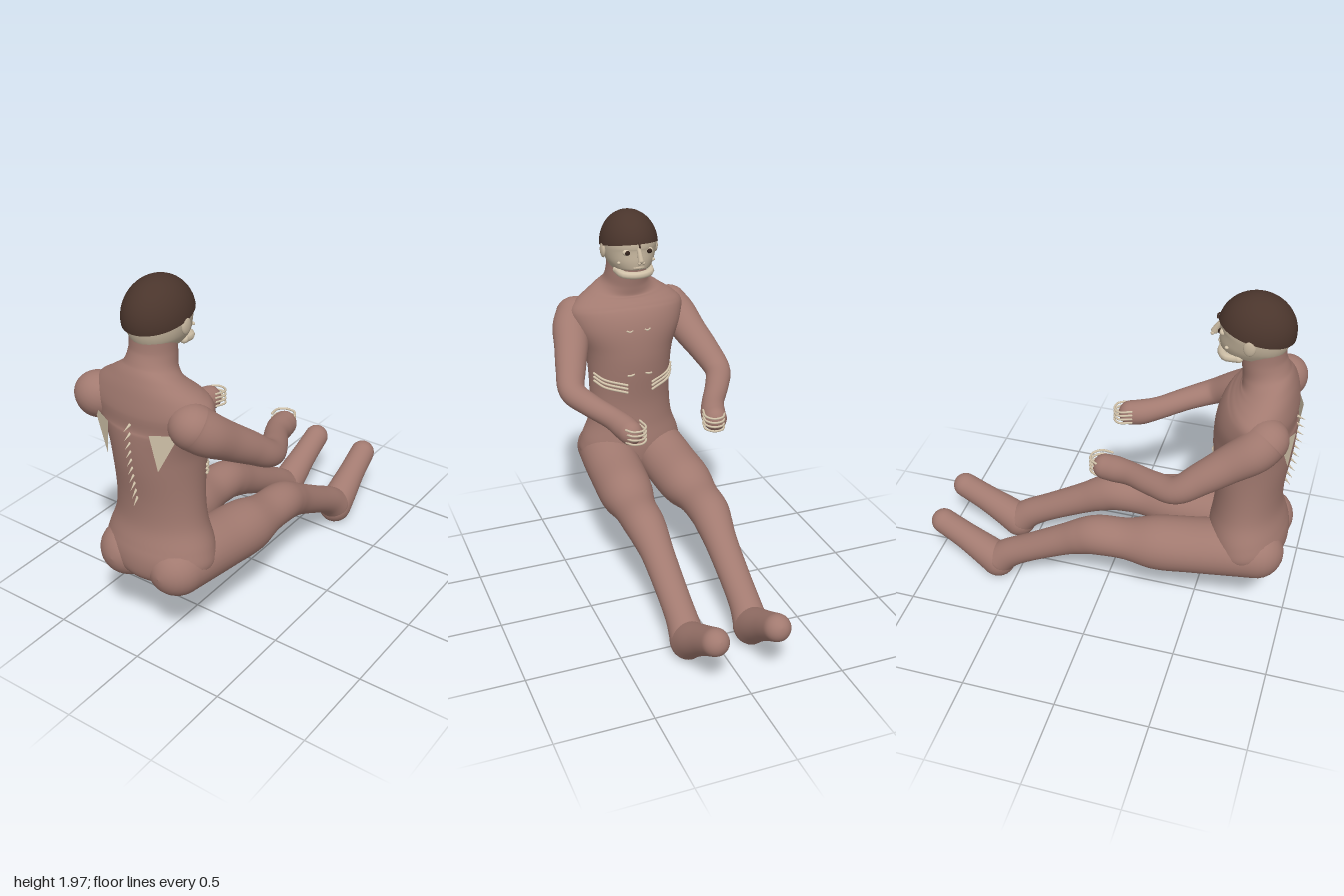
import * as THREE from 'three';

const mat = (name, color, side = THREE.FrontSide) => {
  const m = new THREE.MeshStandardMaterial({ color, side });
  m.name = name;
  return m;
};

// Smooth interpolation of rows of numbers at parameter t (in row units)
function sample(rows, t) {
  const i = Math.min(Math.floor(t), rows.length - 2), f = t - i;
  const at = k => rows[Math.max(0, Math.min(rows.length - 1, k))];
  return rows[0].map((_, c) => {
    const [p, q, r, s] = [at(i - 1)[c], at(i)[c], at(i + 1)[c], at(i + 2)[c]];
    return q + 0.5 * f * (r - p + f * (2 * p - 5 * q + 4 * r - s + f * (3 * (q - r) + s - p)));
  });
}

// Rounded tube through rows of [x, y, z, radius up, radius along z]
function loft(rows, startCap = 1, endCap = 1, sides = 32, steps = 6) {
  const end = rows.length - 1, stations = [];
  const tangent = t => {
    const a = sample(rows, Math.max(0, t - 0.05)), b = sample(rows, Math.min(end, t + 0.05));
    return new THREE.Vector3(b[0] - a[0], b[1] - a[1], b[2] - a[2]).normalize();
  };
  const add = (t, offset, k) => {
    const [x, y, z, a, b] = sample(rows, t), T = tangent(t);
    const c = new THREE.Vector3(x, y, z).addScaledVector(T, offset * (a + b) / 2);
    stations.push({ c, T, a: a * k, b: b * k });
  };
  const capSteps = 7;
  for (let i = capSteps; i > 0; i--) {
    const p = i / capSteps * 1.57;
    add(0, -startCap * Math.sin(p), Math.cos(p));
  }
  for (let i = 0; i <= end * steps; i++) add(i / steps, 0, 1);
  for (let i = 1; i <= capSteps; i++) {
    const p = i / capSteps * 1.57;
    add(end, endCap * Math.sin(p), Math.cos(p));
  }
  const pos = [], idx = [];
  stations.forEach(({ c, T, a, b }, i) => {
    const S = new THREE.Vector3(0, 0, 1).addScaledVector(T, -T.z).normalize();
    const U = S.clone().cross(T);
    for (let j = 0; j < sides; j++) {
      const th = j / sides * Math.PI * 2;
      const v = c.clone().addScaledVector(U, a * Math.cos(th)).addScaledVector(S, b * Math.sin(th));
      pos.push(v.x, v.y, v.z);
      if (i === stations.length - 1) continue;
      const p = i * sides + j, q = i * sides + (j + 1) % sides;
      idx.push(p, q, p + sides, q, q + sides, p + sides);
    }
  });
  const g = new THREE.BufferGeometry();
  g.setAttribute('position', new THREE.Float32BufferAttribute(pos, 3));
  g.setIndex(idx);
  g.computeVertexNormals();
  return g;
}

export function createModel() {
  const root = new THREE.Group();
  root.name = 'seatedFigure';
  const flesh = mat('flesh', 0xa27a70);
  const skin = mat('paleSkin', 0xc6b69e);
  const bone = mat('bone', 0xd2c3aa, THREE.DoubleSide);
  const hairMat = mat('darkHair', 0x4a352c, THREE.DoubleSide);
  const eyeMat = mat('eyeBrown', 0x33231c);

  const part = (name, geo, material, parent = root) => {
    const m = new THREE.Mesh(geo, material);
    m.name = name;
    parent.add(m);
    return m;
  };
  const ball = (name, x, y, z, rx, ry, rz, material, parent) => {
    const m = part(name, new THREE.SphereGeometry(1, 24, 16), material, parent);
    m.position.set(x, y, z);
    m.scale.set(rx, ry, rz);
    return m;
  };
  // Thin bone through points, with rounded ends
  const rod = (name, pts, r, material, parent) => {
    const v = pts.map(p => new THREE.Vector3(...p));
    part(name, new THREE.TubeGeometry(new THREE.CatmullRomCurve3(v), 16, r, 8), material, parent);
    for (const p of [v[0], v[v.length - 1]]) ball(name + 'End', p.x, p.y, p.z, r, r, r, material, parent);
  };

  // Torso and neck
  part('torso', loft([
    [-0.78, 0.44, 0, 0.1, 0.12],
    [-0.78, 0.48, 0, 0.18, 0.23],
    [-0.775, 0.55, 0, 0.205, 0.3],
    [-0.762, 0.64, 0, 0.2, 0.29],
    [-0.755, 0.76, 0, 0.177, 0.248],
    [-0.755, 0.9, 0, 0.175, 0.235],
    [-0.755, 1.08, 0, 0.197, 0.24],
    [-0.757, 1.2, 0, 0.204, 0.258],
    [-0.765, 1.32, 0, 0.197, 0.31],
    [-0.79, 1.41, 0, 0.172, 0.33],
    [-0.8, 1.47, 0, 0.147, 0.285],
    [-0.798, 1.52, 0, 0.13, 0.21],
    [-0.785, 1.57, 0, 0.117, 0.135],
    [-0.768, 1.64, 0, 0.108, 0.115],
    [-0.762, 1.72, 0, 0.106, 0.114],
  ], 0.2, 0.3, 48), flesh);

  for (const s of [1, -1]) {
    const side = s > 0 ? 'left' : 'right';
    const mirror = rows => rows.map(([x, y, z, ...r]) => [x, y, z * s, ...r]);

    // Arm with closed hand
    part(side + 'Arm', loft(mirror([
      [-0.845, 1.36, 0.275, 0.11, 0.12],
      [-0.8, 1.315, 0.32, 0.105, 0.105],
      [-0.7, 1.245, 0.352, 0.092, 0.095],
      [-0.58, 1.165, 0.395, 0.08, 0.083],
      [-0.46, 1.085, 0.425, 0.067, 0.072],
      [-0.33, 1.05, 0.368, 0.06, 0.065],
      [-0.2, 1.018, 0.29, 0.06, 0.06],
      [-0.11, 0.998, 0.252, 0.067, 0.066],
      [-0.05, 0.99, 0.238, 0.066, 0.064],
    ])), flesh);

    // Leg from hip to heel, then foot
    part(side + 'Leg', loft(mirror([
      [-0.84, 0.535, 0.15, 0.14, 0.145],
      [-0.7, 0.53, 0.155, 0.147, 0.155],
      [-0.5, 0.505, 0.165, 0.143, 0.155],
      [-0.31, 0.485, 0.178, 0.142, 0.148],
      [-0.15, 0.475, 0.186, 0.107, 0.118],
      [0, 0.463, 0.188, 0.107, 0.11],
      [0.09, 0.43, 0.184, 0.1, 0.1],
      [0.2, 0.373, 0.18, 0.086, 0.087],
      [0.4, 0.262, 0.178, 0.077, 0.081],
      [0.52, 0.19, 0.177, 0.081, 0.082],
      [0.59, 0.13, 0.176, 0.09, 0.09],
    ])), flesh);
    part(side + 'Foot', loft(mirror([
      [0.605, 0.108, 0.175, 0.1, 0.093],
      [0.68, 0.16, 0.173, 0.088, 0.088],
      [0.8, 0.235, 0.168, 0.075, 0.075],
      [0.925, 0.308, 0.163, 0.07, 0.07],
    ])), flesh);

    // Bent finger bones
    const hand = new THREE.Group();
    hand.name = side + 'Fingers';
    root.add(hand);
    for (const y of [1.028, 1.004, 0.98, 0.956])
      rod('finger', mirror([[-0.01, y, 0.275], [0.026, y, 0.25], [0.03, y, 0.2],
        [-0.005, y + 0.004, 0.168], [-0.07, y + 0.012, 0.178]]), 0.006, bone, hand);

    // Collarbone, breastbone marks, lower ribs and shoulder blade
    rod(side + 'Collarbone', mirror([[-0.612, 1.388, 0.042], [-0.63, 1.394, 0.12], [-0.682, 1.396, 0.208]]), 0.011, bone);
    rod(side + 'UpperRibTip', mirror([[-0.574, 1.338, 0.036], [-0.573, 1.332, 0.05], [-0.577, 1.338, 0.066]]), 0.006, bone);
    rod(side + 'LowerRibTip', mirror([[-0.562, 1.082, 0.036], [-0.56, 1.078, 0.05], [-0.567, 1.076, 0.068]]), 0.006, bone);
    for (const y of [0, -0.022, -0.045])
      rod(side + 'Rib', mirror([[-0.69, 1.068 + y, 0.229], [-0.63, 1.045 + y, 0.188], [-0.567, 1.02 + y, 0.075]]), 0.007, bone);
    const blade = new THREE.BufferGeometry();
    const corners = mirror([[-0.915, 1.335, 0.25], [-0.968, 1.32, 0.12], [-0.95, 1.13, 0.15]]);
    blade.setAttribute('position', new THREE.Float32BufferAttribute(corners.flat(), 3));
    blade.setIndex(s > 0 ? [0, 1, 2] : [0, 2, 1]);
    blade.computeVertexNormals();
    part(side + 'ShoulderBlade', blade, bone);

    // Ear, eye and cheek mark
    ball(side + 'Ear', -0.715, 1.772, 0.15 * s, 0.03, 0.042, 0.014, skin);
    ball(side + 'Eye', -0.572, 1.787, 0.062 * s, 0.018, 0.018, 0.024, bone);
    ball(side + 'Iris', -0.558, 1.787, 0.062 * s, 0.011, 0.013, 0.014, eyeMat);
    ball(side + 'CheekMark', -0.6, 1.725, 0.098 * s, 0.01, 0.008, 0.01, bone);
    ball(side + 'Nostril', -0.513, 1.737, 0.012 * s, 0.01, 0.009, 0.009, skin);
  }

  // Spine spikes pointing back and down
  for (let i = 0; i < 10; i++) {
    const f = i / 9;
    const spike = part('spineSpike', new THREE.ConeGeometry(0.009, 0.06, 8), bone);
    spike.position.set(-0.972 + 0.03 * f * f, 1.325 - 0.41 * f, 0);
    spike.rotation.z = Math.PI / 2 + 0.35 + 0.5 * f;
  }

  // Head, jaw, mouth and nose
  part('head', loft([
    [-0.7, 1.675, 0, 0.148, 0.105],
    [-0.705, 1.72, 0, 0.16, 0.13],
    [-0.717, 1.78, 0, 0.171, 0.146],
    [-0.72, 1.84, 0, 0.17, 0.146],
    [-0.72, 1.89, 0, 0.14, 0.12],
  ], 0.1, 0.4), skin);
  rod('jaw', [[-0.66, 1.67, 0.092], [-0.59, 1.66, 0.075], [-0.562, 1.656, 0],
    [-0.59, 1.66, -0.075], [-0.66, 1.67, -0.092]], 0.021, bone);
  rod('mouth', [[-0.557, 1.7, 0.025], [-0.547, 1.702, 0], [-0.557, 1.7, -0.025]], 0.007, skin);
  part('nose', loft([
    [-0.553, 1.805, 0, 0.012, 0.012],
    [-0.532, 1.77, 0, 0.015, 0.014],
    [-0.52, 1.745, 0, 0.018, 0.017],
  ], 1, 0.7, 16), skin);

  // Hair cap tilted up toward the face
  const hair = part('hair', new THREE.SphereGeometry(1, 40, 20, 0, Math.PI * 2, 0, Math.PI / 2), hairMat);
  hair.scale.set(0.187, 0.18, 0.157);
  hair.position.set(-0.722, 1.797, 0);
  hair.rotation.z = 0.2;
  rod('hairTuft', [[-0.54, 1.845, 0], [-0.532, 1.835, 0.003], [-0.533, 1.818, 0]], 0.005, hairMat);

  return root;
}
